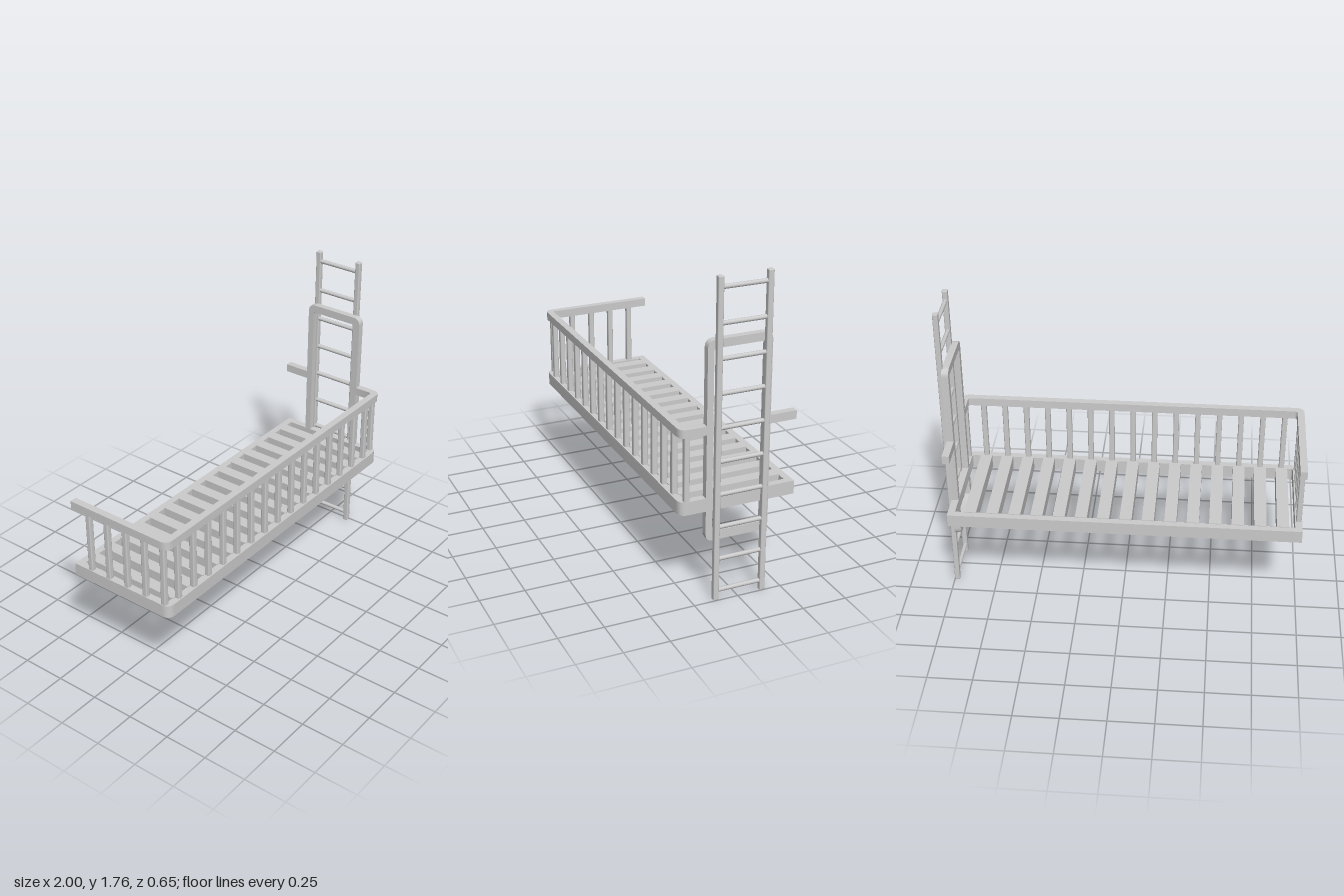
import * as THREE from 'three';
import { toCreasedNormals } from 'three/addons/utils/BufferGeometryUtils.js';
import { RoundedBoxGeometry } from 'three/addons/geometries/RoundedBoxGeometry.js';

const material = new THREE.MeshStandardMaterial({ color: 0xcccccc });

// Outer limits of the bed and width of its rails
const X0 = -1, X1 = 0.975, Z = 0.325, W = 0.04;

function add(group, name, geometry, x = 0, y = 0, z = 0) {
  const mesh = new THREE.Mesh(geometry, material);
  mesh.name = name;
  mesh.position.set(x, y, z);
  group.add(mesh);
}

// Extrudes a plan shape (shape y = -z) upwards from y0 to y1
function slab(shape, y0, y1) {
  const g = new THREE.ExtrudeGeometry(shape, { depth: y1 - y0, bevelEnabled: false, curveSegments: 8 });
  g.rotateX(-Math.PI / 2).translate(0, y0, 0);
  return toCreasedNormals(g, 0.6);
}

// Rectangle with separate radii for its lower and upper corners
function rect(path, x0, y0, x1, y1, low, high) {
  path.moveTo(x0 + low, y0);
  path.lineTo(x1 - low, y0);
  path.quadraticCurveTo(x1, y0, x1, y0 + low);
  path.lineTo(x1, y1 - high);
  if (high) path.quadraticCurveTo(x1, y1, x1 - high, y1);
  path.lineTo(x0 + high, y1);
  if (high) path.quadraticCurveTo(x0, y1, x0, y1 - high);
  path.lineTo(x0, y0 + low);
  path.quadraticCurveTo(x0, y0, x0 + low, y0);
  return path;
}

// Bed frame, square at the back and rounded at the front
function baseFrame() {
  const shape = rect(new THREE.Shape(), X0, -Z, X1, Z, 0.05, 0);
  shape.holes.push(rect(new THREE.Path(), X0 + W, -Z + W, X1 - W, Z - W, 0.015, 0));
  return slab(shape, 0.518, 0.592);
}

// Guard rail along the left end, the front and the front part of the right end
function guardRail() {
  const s = new THREE.Shape(), r = 0.05, q = 0.015, end = -0.16;
  s.moveTo(X0, Z);
  s.lineTo(X0, -Z + r);
  s.quadraticCurveTo(X0, -Z, X0 + r, -Z);
  s.lineTo(X1 - r, -Z);
  s.quadraticCurveTo(X1, -Z, X1, -Z + r);
  s.lineTo(X1, end);
  s.lineTo(X1 - W, end);
  s.lineTo(X1 - W, -Z + W + q);
  s.quadraticCurveTo(X1 - W, -Z + W, X1 - W - q, -Z + W);
  s.lineTo(X0 + W + q, -Z + W);
  s.quadraticCurveTo(X0 + W, -Z + W, X0 + W, -Z + W + q);
  s.lineTo(X0 + W, Z);
  return slab(s, 0.941, 0.988);
}

// Upright rounded loop that frames the way in from the ladder
function entryLoop() {
  const shape = rect(new THREE.Shape(), -0.178, 0.345, 0.178, 1.438, 0.045, 0.045);
  shape.holes.push(rect(new THREE.Path(), -0.143, 0.397, 0.143, 1.393, 0.015, 0.015));
  const g = new THREE.ExtrudeGeometry(shape, { depth: 0.038, bevelEnabled: false, curveSegments: 8 });
  g.rotateY(Math.PI / 2).translate(0.936, 0, 0.002);
  return toCreasedNormals(g, 0.6);
}

export function createModel() {
  const model = new THREE.Group();
  model.name = 'bunkBedWithLadder';

  add(model, 'baseFrame', baseFrame());
  add(model, 'guardRail', guardRail());
  add(model, 'backRailStub', new THREE.BoxGeometry(W, 0.047, 0.165), X1 - W / 2, 0.9645, -Z + 0.0825);
  add(model, 'entryLoop', entryLoop());

  // Deep slats, nearly flush with the underside, with a front guard post at each one
  const slat = new THREE.BoxGeometry(0.068, 0.076, 2 * (Z - W) + 0.01);
  const post = new RoundedBoxGeometry(0.031, 0.37, 0.031, 2, 0.007);
  const postY = 0.77;
  for (let i = 0; i < 15; i++) {
    const x = -0.893 + i * 0.1245;
    add(model, 'slat', slat, x, 0.558, 0);
    add(model, 'frontPost', post, x, postY, 0.302);
  }

  // Posts at the two ends
  for (let i = 0; i < 5; i++) add(model, 'leftPost', post, X0 + 0.019, postY, 0.283 - i * 0.125);
  add(model, 'rightPost', post, X1 - 0.019, postY, 0.283);

  // Ladder
  const ladder = new THREE.Group();
  ladder.name = 'ladder';
  model.add(ladder);
  const upright = new RoundedBoxGeometry(0.03, 1.765, 0.031, 2, 0.006);
  for (const z of [0.125, -0.144]) add(ladder, 'ladderUpright', upright, 0.985, 0.8825, z);
  const rung = new THREE.CylinderGeometry(0.012, 0.012, 0.26, 12).rotateX(Math.PI / 2);
  for (let i = 0; i < 10; i++) add(ladder, 'rung', rung, 0.984, 0.054 + i * 0.1835, -0.0095);

  return model;
}
